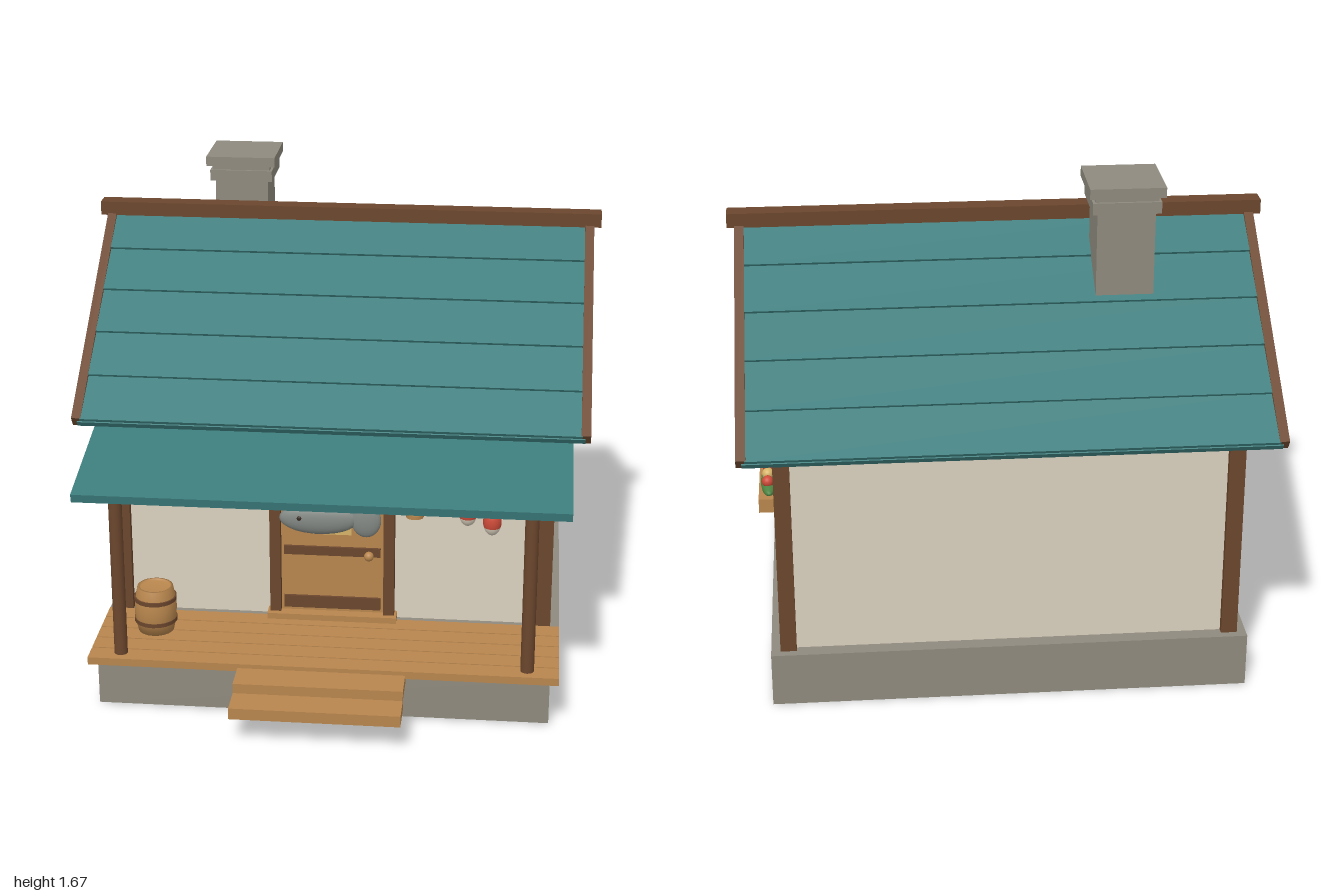
import * as THREE from 'three';

const paint = (name, color) => Object.assign(new THREE.MeshStandardMaterial({ color }), { name });
const teal = paint('teal roof', 0x3c7c7c);
const plaster = paint('cream plaster', 0xdad1be);
const wood = paint('light wood', 0xb8864d);
const dark = paint('dark wood', 0x6b462d);
const stone = paint('stone', 0x8f8a7e);
const gold = paint('warm glass', 0xd6b468);
const red = paint('red', 0xcc4a38);
const green = paint('leaf green', 0x4c8442);
const grey = paint('fish grey', 0x838985);
const iron = paint('iron', 0x3a2c22);

function add(parent, name, geo, mat, x = 0, y = 0, z = 0) {
  const m = new THREE.Mesh(geo, mat);
  m.name = name;
  m.position.set(x, y, z);
  parent.add(m);
  return m;
}

// Box given by its limits on each axis
function box(parent, name, mat, x0, x1, y0, y1, z0, z1) {
  return add(parent, name, new THREE.BoxGeometry(x1 - x0, y1 - y0, z1 - z0), mat,
    (x0 + x1) / 2, (y0 + y1) / 2, (z0 + z1) / 2);
}

function ball(parent, name, mat, x, y, z, rx, ry, rz, from = 0, sweep = Math.PI) {
  const geo = new THREE.SphereGeometry(1, 20, 14, 0, Math.PI * 2, from, sweep);
  geo.scale(rx, ry, rz);
  return add(parent, name, geo, mat, x, y, z);
}

function group(parent, name, x = 0, y = 0, z = 0) {
  const g = new THREE.Group();
  g.name = name;
  g.position.set(x, y, z);
  parent.add(g);
  return g;
}

const RIDGE_Z = -0.235;

function buildBase(root) {
  box(root, 'foundation', stone, -0.8, 0.8, 0, 0.187, -0.89, 0.43);
  box(root, 'porchFoundation', stone, -0.77, 0.77, 0.005, 0.165, 0.42, 0.757);
  // Deck planks run along the front
  for (let i = 0; i < 5; i++) {
    const z = 0.4 + i * 0.078;
    box(root, 'deckPlank', wood, -0.8, 0.8, 0.163, 0.19, z, z + 0.072);
  }
  box(root, 'upperStep', wood, -0.285, 0.285, 0.137, 0.175, 0.77, 0.895);
  box(root, 'lowerStep', wood, -0.285, 0.285, 0.1, 0.14, 0.88, 1.0);
}

function buildWalls(root) {
  box(root, 'walls', plaster, -0.745, 0.745, 0.187, 0.95, -0.84, 0.375);
  for (const x of [-0.742, 0.742]) {
    for (const z of [0.372, -0.835]) {
      box(root, 'cornerPost', dark, x - 0.027, x + 0.027, 0.187, 0.95, z - 0.028, z + 0.028);
    }
  }
  box(root, 'wallPlate', dark, -0.74, 0.74, 0.92, 0.95, 0.36, 0.39);
}

function buildRoof(root) {
  // Solid gable block under the slopes
  const tri = new THREE.Shape([[-0.73, 0.95], [0.73, 0.95], [0, 1.465]].map(p => new THREE.Vector2(...p)));
  const gable = new THREE.ExtrudeGeometry(tri, { depth: 1.68, bevelEnabled: false });
  gable.translate(0, 0, -0.84).rotateY(Math.PI / 2);
  add(root, 'gable', gable, teal, 0, 0, RIDGE_Z);

  for (const turn of [0, Math.PI]) {
    const side = group(root, 'roofSide', 0, 1.488, RIDGE_Z);
    side.rotation.y = turn;
    const slope = group(side, 'roofSlope');
    slope.rotation.x = 0.618;
    box(slope, 'roofSlab', teal, -0.86, 0.86, -0.026, -0.004, 0, 0.93);
    // Overlapping courses, each lifted at its lower edge
    for (let i = 0; i < 5; i++) {
      const course = add(slope, 'roofCourse', new THREE.BoxGeometry(1.7, 0.012, 0.19), teal,
        0, 0.001, 0.093 + i * 0.185);
      course.rotation.x = -0.05;
    }
    for (const s of [-1, 1]) {
      const x = s * 0.862;
      box(slope, 'bargeBoard', dark, x - 0.016, x + 0.016, -0.03, 0.012, 0, 0.925);
    }
  }
  box(root, 'ridgeBeam', dark, -0.903, 0.903, 1.473, 1.522, RIDGE_Z - 0.033, RIDGE_Z + 0.033);

  // Chimney: half width, bottom, top of each block
  const chimney = group(root, 'chimney', -0.405, 0, -0.43);
  for (const [w, y0, y1] of [[0.096, 1.2, 1.59], [0.113, 1.58, 1.62], [0.104, 1.62, 1.637], [0.125, 1.637, 1.672]]) {
    box(chimney, 'chimneyBlock', stone, -w, w, y0, y1, -w, w);
  }
}

function buildPorch(root) {
  const roof = add(root, 'porchRoof', new THREE.BoxGeometry(1.645, 0.03, 0.508), teal, 0, 0.845, 0.57);
  roof.rotation.x = 0.205;
  box(root, 'porchBeam', dark, -0.823, 0.823, 0.765, 0.798, 0.718, 0.75);
  for (const x of [-0.693, 0.693]) {
    add(root, 'porchPost', new THREE.CylinderGeometry(0.023, 0.023, 0.595, 16), dark, x, 0.477, 0.735);
  }

  // Hanging fish
  const fish = group(root, 'fishSign', 0, 0.72, 0.738);
  ball(fish, 'fishBody', grey, -0.01, 0, 0, 0.132, 0.054, 0.028);
  ball(fish, 'fishTail', grey, 0.147, 0, 0, 0.05, 0.06, 0.018);
  for (const z of [-0.021, 0.021]) ball(fish, 'fishEye', iron, -0.072, 0.008, z, 0.009, 0.009, 0.006);

  // Barrel with hoops
  const barrel = group(root, 'barrel', -0.605, 0.19, 0.545);
  const profile = [[0, 0], [0.062, 0], [0.072, 0.05], [0.074, 0.083], [0.072, 0.115], [0.062, 0.165], [0.054, 0.165], [0.054, 0.157], [0, 0.157]];
  add(barrel, 'barrelBody', new THREE.LatheGeometry(profile.map(p => new THREE.Vector2(...p)), 20), wood);
  for (const y of [0.043, 0.123]) {
    add(barrel, 'barrelHoop', new THREE.CylinderGeometry(0.0745, 0.0745, 0.014, 20), dark, 0, y, 0);
  }
}

function buildDoor(root) {
  const door = group(root, 'door', 0, 0, 0.375);
  box(door, 'doorLeaf', wood, -0.18, 0.18, 0.2, 0.715, 0, 0.02);
  for (const [y0, y1] of [[0.225, 0.27], [0.43, 0.462], [0.64, 0.69]]) {
    box(door, 'doorBatten', dark, -0.17, 0.17, y0, y1, 0.018, 0.03);
  }
  box(door, 'doorPane', gold, -0.067, 0.067, 0.51, 0.632, 0.019, 0.026);
  for (const x of [-0.2, 0.2]) box(door, 'doorJamb', dark, x - 0.019, x + 0.019, 0.19, 0.72, 0, 0.04);
  box(door, 'doorLintel', dark, -0.232, 0.232, 0.712, 0.75, 0, 0.05);
  box(door, 'threshold', wood, -0.228, 0.228, 0.19, 0.212, 0, 0.06);
  ball(door, 'doorKnob', wood, 0.13, 0.437, 0.038, 0.017, 0.017, 0.017);
}

function buildWallHangings(root) {
  // Lantern on a bracket
  const lantern = group(root, 'lantern', 0.29, 0, 0.43);
  box(lantern, 'lanternBracket', iron, -0.008, 0.008, 0.713, 0.727, -0.055, 0.008);
  add(lantern, 'lanternHook', new THREE.CylinderGeometry(0.004, 0.004, 0.03, 8), iron, 0, 0.705, 0);
  add(lantern, 'lanternCap', new THREE.CylinderGeometry(0.02, 0.033, 0.022, 12), wood, 0, 0.688, 0);
  add(lantern, 'lanternGlass', new THREE.CylinderGeometry(0.022, 0.022, 0.07, 12), gold, 0, 0.645, 0);
  add(lantern, 'lanternFoot', new THREE.CylinderGeometry(0.031, 0.031, 0.014, 12), wood, 0, 0.611, 0);

  // Fishing floats, red above and cream below
  for (const [x, y] of [[0.473, 0.632], [0.557, 0.6]]) {
    const float = group(root, 'float', x, y, 0.437);
    ball(float, 'floatTop', red, 0, 0, 0, 0.032, 0.05, 0.032, 0, 1.95);
    ball(float, 'floatBottom', plaster, 0, 0, 0, 0.032, 0.05, 0.032, 1.95, Math.PI - 1.95);
    box(float, 'floatPeg', iron, -0.004, 0.004, 0.02, 0.028, -0.065, -0.02);
  }
}

// Side window; local +x points out of the wall
function buildWindow(root, s) {
  const win = group(root, 'window', s * 0.745, 0, -0.255);
  win.rotation.y = s > 0 ? 0 : Math.PI;
  box(win, 'windowGlass', gold, 0, 0.008, 0.53, 0.75, -0.115, 0.115);
  for (const z of [-0.115, 0.115]) box(win, 'windowJamb', dark, 0, 0.028, 0.515, 0.757, z - 0.012, z + 0.012);
  for (const y of [0.527, 0.744]) box(win, 'windowRail', dark, 0, 0.028, y - 0.013, y + 0.013, -0.127, 0.127);
  box(win, 'uprightBar', dark, 0, 0.02, 0.52, 0.75, -0.009, 0.009);
  box(win, 'crossBar', dark, 0, 0.02, 0.63, 0.648, -0.115, 0.115);
  for (const z of [-0.168, 0.168]) box(win, 'shutter', wood, 0, 0.03, 0.515, 0.757, z - 0.041, z + 0.041);

  box(win, 'flowerBox', wood, 0.02, 0.092, 0.463, 0.514, -0.135, 0.135);
  ball(win, 'leaves', green, 0.056, 0.52, 0, 0.03, 0.025, 0.115);
  [-0.06, 0, 0.06].forEach((z, i) =>
    ball(win, 'flower', i === 1 ? gold : red, 0.06, 0.547, z, 0.021, 0.021, 0.021));
}

export function createModel() {
  const root = new THREE.Group();
  root.name = 'cottage';
  buildBase(root);
  buildWalls(root);
  buildRoof(root);
  buildPorch(root);
  buildDoor(root);
  buildWallHangings(root);
  for (const s of [-1, 1]) buildWindow(root, s);
  return root;
}
